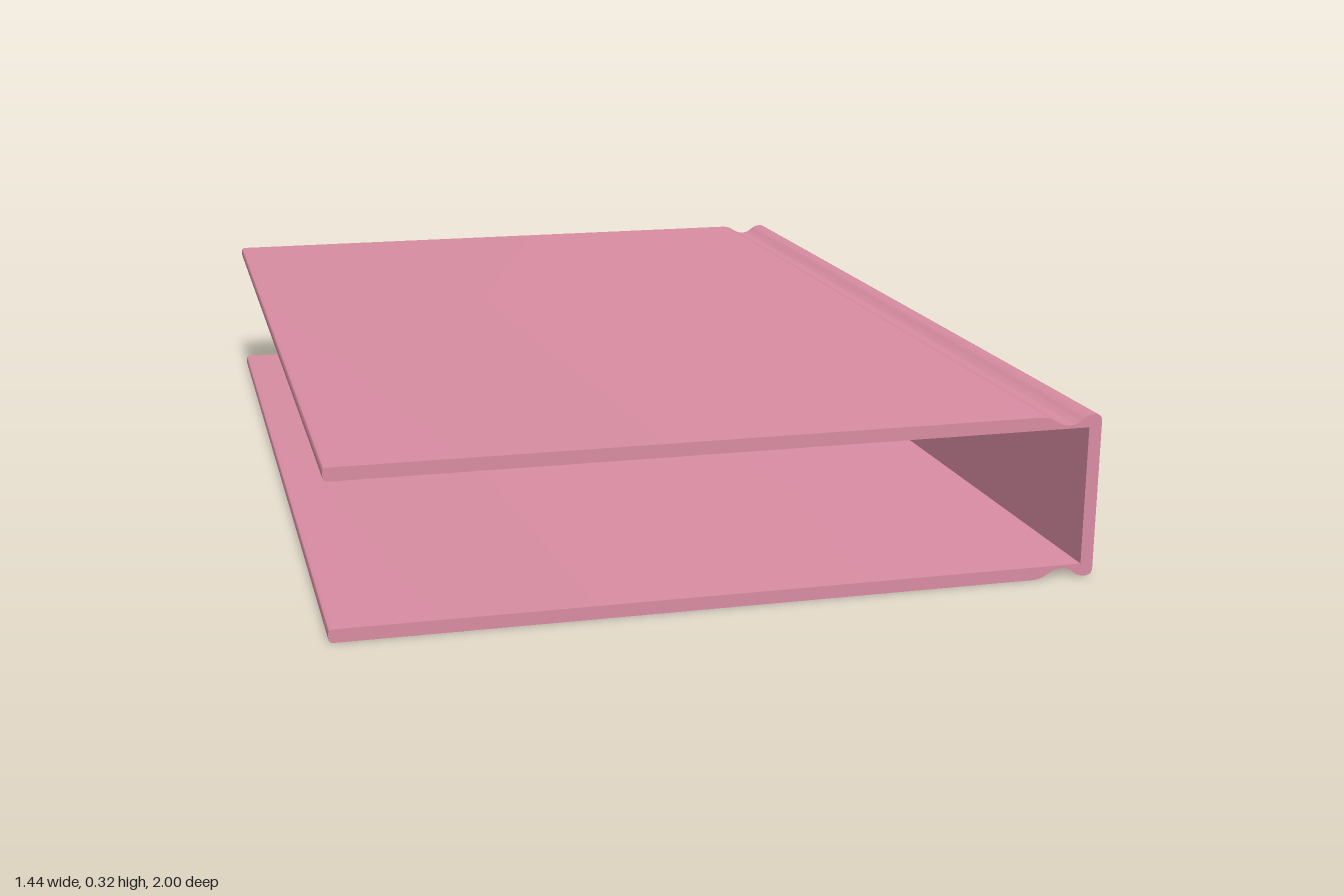
import * as THREE from 'three';
import { toCreasedNormals } from 'three/addons/utils/BufferGeometryUtils.js';

const HEIGHT = 0.318, LENGTH = 2, BOARD = 0.025;
const LEFT = -0.722, RIGHT = 0.722, ROUND = 0.009;

// Outline of the upper board, hinge groove and spine edge, from inside to outside
function upperOutline() {
  const inner = HEIGHT - BOARD;
  const p = new THREE.Path();
  p.moveTo(RIGHT - BOARD, inner);
  p.lineTo(LEFT + ROUND, inner);
  // rounded fore edge
  p.quadraticCurveTo(LEFT, inner, LEFT, inner + ROUND);
  p.lineTo(LEFT, HEIGHT - ROUND);
  p.quadraticCurveTo(LEFT, HEIGHT, LEFT + ROUND, HEIGHT);
  // hinge groove
  p.lineTo(0.6, HEIGHT);
  p.bezierCurveTo(0.628, HEIGHT, 0.632, 0.299, 0.658, 0.299);
  p.bezierCurveTo(0.682, 0.299, 0.682, HEIGHT, 0.707, HEIGHT);
  // rounded spine edge
  p.quadraticCurveTo(RIGHT, HEIGHT, RIGHT, HEIGHT - 0.015);
  return p.getPoints(8);
}

export function createModel() {
  const group = new THREE.Group();
  group.name = 'bookCover';

  // Mirror the upper half downwards to close the profile
  const upper = upperOutline();
  const lower = upper.map(p => new THREE.Vector2(p.x, HEIGHT - p.y)).reverse();
  const geometry = new THREE.ExtrudeGeometry(new THREE.Shape([...upper, ...lower]), {
    depth: LENGTH, bevelEnabled: false,
  });
  geometry.translate(0, 0, -LENGTH / 2);

  const cover = new THREE.Mesh(
    toCreasedNormals(geometry, Math.PI / 5),
    new THREE.MeshStandardMaterial({ color: 0xd88ca2 }),
  );
  cover.name = 'hardcoverCase';
  group.add(cover);
  return group;
}
